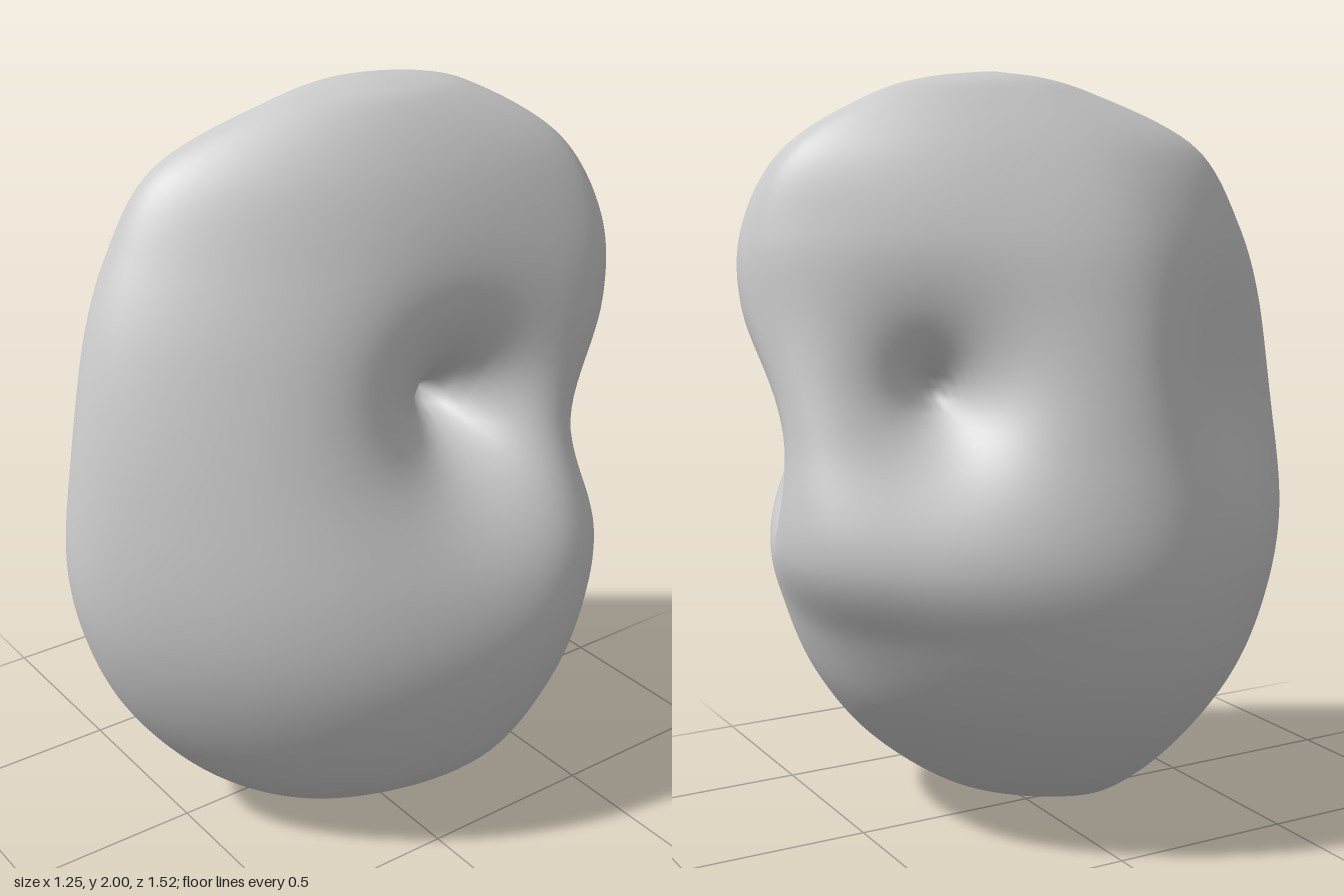
import * as THREE from 'three';

// Each level: height, then the x,z of the front, right, back and left corner edges.
const LEVELS = [
  [2.00, -0.03, -0.10, -0.03, -0.12, -0.02, -0.14, -0.02, -0.13],
  [1.985, -0.05, 0.04, -0.09, -0.10, -0.02, -0.29, 0.03, -0.27],
  [1.95, -0.06, 0.18, -0.15, -0.05, -0.01, -0.42, 0.09, -0.38],
  [1.80, -0.14, 0.50, -0.31, 0.01, 0.02, -0.65, 0.22, -0.60],
  [1.60, -0.13, 0.64, -0.45, 0.05, 0.03, -0.75, 0.33, -0.67],
  [1.40, -0.10, 0.73, -0.53, 0.08, 0.00, -0.79, 0.42, -0.63],
  [1.10, -0.05, 0.80, -0.60, 0.10, -0.14, -0.79, 0.52, -0.50],
  [0.80, -0.02, 0.83, -0.65, 0.12, -0.25, -0.77, 0.63, -0.45],
  [0.60, 0.00, 0.795, -0.635, 0.12, -0.23, -0.65, 0.65, -0.38],
  [0.40, 0.01, 0.705, -0.56, 0.12, -0.17, -0.54, 0.61, -0.30],
  [0.20, 0.03, 0.54, -0.40, 0.11, -0.04, -0.37, 0.51, -0.20],
  [0.06, 0.04, 0.36, -0.20, 0.12, 0.03, -0.18, 0.32, -0.06],
  [0.015, 0.04, 0.27, -0.06, 0.14, 0.03, 0.01, 0.17, 0.06],
  [0.00, 0.03, 0.17, 0.02, 0.15, 0.03, 0.13, 0.04, 0.15],
];
// Outward swell of the four faces, at the base and at the top
const SWELL_BASE = [0.11, 0.12, 0.17, 0.15];
const SWELL_TOP = [0.08, 0.08, 0.08, 0.15];
const ROWS = 130, PER_FACE = 40, COLS = PER_FACE * 4;

// Dents: a point on the face, the outward direction, depth, reach, pointed or soft
const DENTS = [
  { at: [0.46, 1.19, -0.17], out: [0.97, 0.08, 0.08], depth: 0.43, reach: 0.165, pointed: true },
  { at: [0.21, 1.03, -0.66], out: [0.12, 0.05, -1], depth: 0.34, reach: 0.155, pointed: true },
  { at: [-0.38, 1.21, -0.44], out: [-0.92, 0.05, -0.38], depth: 0.29, reach: 0.155, pointed: true },
  { at: [-0.41, 1.2, 0.39], out: [-0.72, 0, 0.69], depth: 0.07, reach: 0.26, pointed: false },
].map(d => ({
  ...d,
  at: new THREE.Vector3(...d.at),
  out: new THREE.Vector3(...d.out).normalize(),
}));

// Rounded four-sided cross-section through the corners
function makeRing(corners) {
  let ring = [];
  corners.forEach((p, f) => {
    const q = corners[(f + 1) % 4];
    const amount = THREE.MathUtils.lerp(SWELL_BASE[f], SWELL_TOP[f], p.y / 2);
    const swell = new THREE.Vector3(q.z - p.z, 0, p.x - q.x).multiplyScalar(2 * amount);
    const mid = p.clone().lerp(q, 0.5).add(swell);
    const side = new THREE.QuadraticBezierCurve3(p, mid, q);
    for (let k = 0; k < PER_FACE; k++) ring.push(side.getPoint(k / PER_FACE));
  });
  for (let pass = 0; pass < 45; pass++) {
    ring = ring.map((v, j) => {
      const ends = ring[(j + 1) % COLS].clone().add(ring[(j + COLS - 1) % COLS]);
      return ends.multiplyScalar(0.25).addScaledVector(v, 0.5);
    });
  }
  return ring;
}

// Push a point inward around each dent's axis
function dent(v) {
  const shift = new THREE.Vector3();
  for (const { at, out, depth, reach, pointed } of DENTS) {
    const rel = v.clone().sub(at);
    const along = rel.dot(out);
    if (along < -0.4) continue;
    const d = rel.addScaledVector(out, -along).length() / reach;
    const fade = THREE.MathUtils.smoothstep(along, -0.4, -0.15);
    shift.addScaledVector(out, -depth * fade * Math.exp(pointed ? -d : -d * d));
  }
  return v.add(shift);
}

function stoneGeometry() {
  const edges = [0, 1, 2, 3].map(c => new THREE.CatmullRomCurve3(
    LEVELS.map(l => new THREE.Vector3(l[1 + c * 2], l[0], l[2 + c * 2])), false, 'centripetal'));
  const pos = [], index = [];
  for (let i = 0; i <= ROWS; i++) {
    const ring = makeRing(edges.map(e => e.getPoint(i / ROWS)));
    for (const v of ring) pos.push(...dent(v).toArray());
  }
  for (let i = 0; i < ROWS; i++) {
    for (let j = 0; j < COLS; j++) {
      const a = i * COLS + j, b = i * COLS + (j + 1) % COLS;
      index.push(a, b, a + COLS, b, b + COLS, a + COLS);
    }
  }
  // Close both ends
  const last = ROWS * COLS;
  for (let j = 1; j < COLS - 1; j++) {
    index.push(0, j + 1, j, last, last + j, last + j + 1);
  }
  const geo = new THREE.BufferGeometry();
  geo.setAttribute('position', new THREE.Float32BufferAttribute(pos, 3));
  geo.setIndex(index);
  geo.computeVertexNormals();
  return geo;
}

export function createModel() {
  const group = new THREE.Group();
  const stone = new THREE.Mesh(stoneGeometry(), new THREE.MeshStandardMaterial({ color: 0xcccccc }));
  stone.name = 'dentedStone';
  group.add(stone);
  return group;
}
